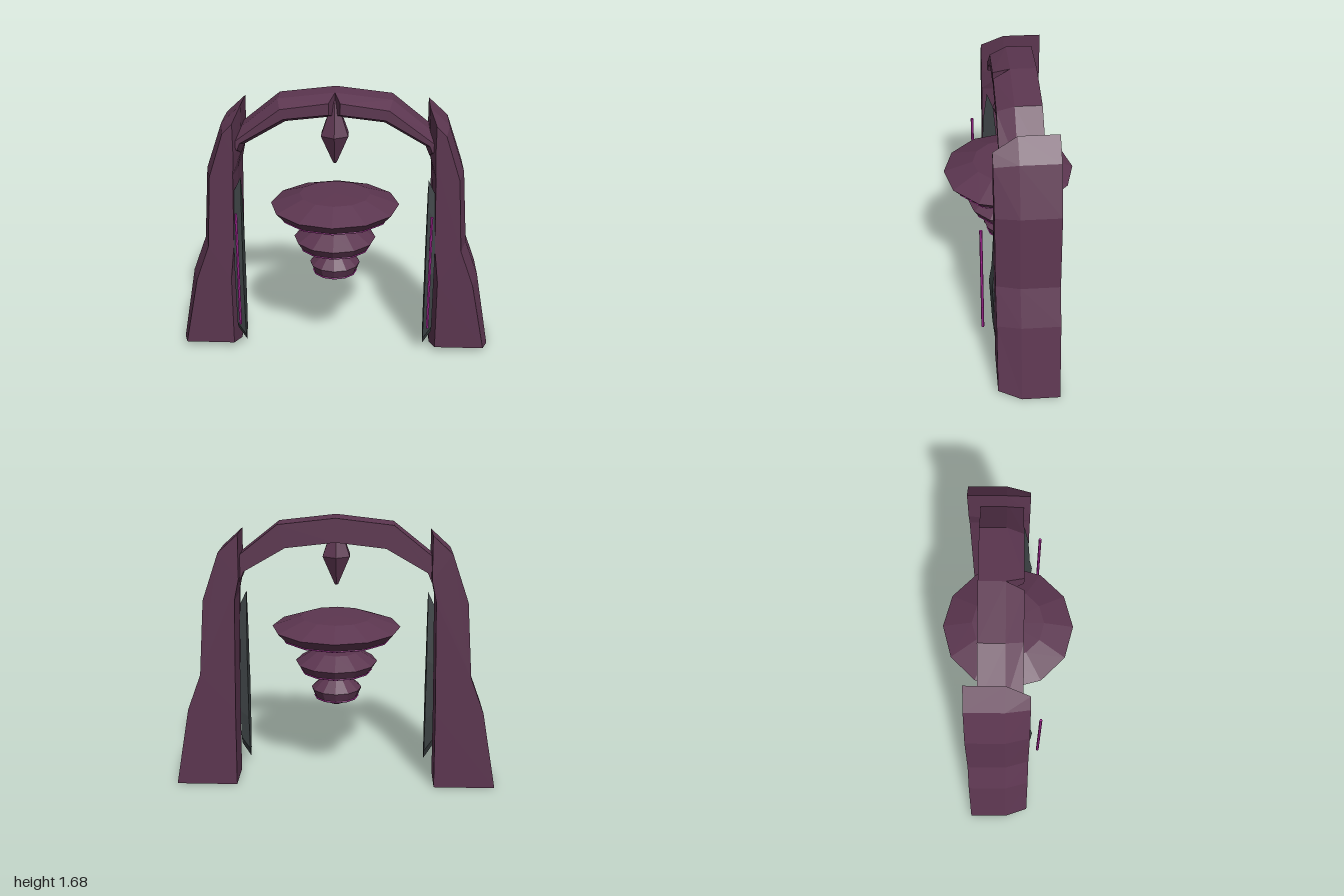
import * as THREE from 'three';

const mat = (name, color) => {
  const m = new THREE.MeshStandardMaterial({ color, flatShading: true });
  m.name = name;
  return m;
};

// Solid lofted through matching outlines: layers are [z, points], points run counter-clockwise.
function loft(layers) {
  const pos = [];
  const tri = (a, b, c) => pos.push(...a, ...b, ...c);
  const rings = layers.map(([z, pts]) => pts.map(([x, y]) => [x, y, z]));
  const n = rings[0].length;
  for (let k = 0; k < rings.length - 1; k++) {
    for (let i = 0; i < n; i++) {
      const j = (i + 1) % n;
      const a = rings[k][i], b = rings[k][j], c = rings[k + 1][j], d = rings[k + 1][i];
      tri(a, b, c);
      tri(a, c, d);
    }
  }
  const cap = (ring, front) => {
    const flat = ring.map(([x, y]) => new THREE.Vector2(x, y));
    for (const [a, b, c] of THREE.ShapeUtils.triangulateShape(flat, [])) {
      if (front) tri(ring[a], ring[b], ring[c]);
      else tri(ring[a], ring[c], ring[b]);
    }
  };
  cap(rings[0], false);
  cap(rings[rings.length - 1], true);
  const g = new THREE.BufferGeometry();
  g.setAttribute('position', new THREE.Float32BufferAttribute(pos, 3));
  g.computeVertexNormals();
  return g;
}

// Mirrored copy across x, keeping faces outward.
function mirrorX(geo) {
  const src = geo.getAttribute('position');
  const pos = [];
  for (let i = 0; i < src.count; i += 3) {
    for (const k of [i, i + 2, i + 1]) pos.push(-src.getX(k), src.getY(k), src.getZ(k));
  }
  const g = new THREE.BufferGeometry();
  g.setAttribute('position', new THREE.Float32BufferAttribute(pos, 3));
  g.computeVertexNormals();
  return g;
}

export function createModel() {
  const group = new THREE.Group();
  group.name = 'hangingArch';
  const stone = mat('plumStone', 0x5c3650);
  const dark = mat('darkMetal', 0x3c4244);
  const glow = mat('magentaGlow', 0xb42ca2);

  const add = (name, geo, material) => {
    const m = new THREE.Mesh(geo, material);
    m.name = name;
    group.add(m);
    return m;
  };
  const addPair = (name, geo, material) => {
    add(name + 'Left', geo, material);
    add(name + 'Right', mirrorX(geo), material);
  };

  // Pillars: full outline at the back, bevelled inwards at the front
  const pillar = [[0.62, 0], [1, 0], [0.91, 0.5], [0.825, 0.73], [0.79, 1.2], [0.69, 1.49],
    [0.57, 1.6], [0.572, 1.33], [0.6, 1.2], [0.61, 0.73], [0.615, 0.5]];
  const pillarFace = [[0.65, 0.04], [0.96, 0.04], [0.87, 0.49], [0.785, 0.725], [0.755, 1.19], [0.665, 1.465],
    [0.605, 1.525], [0.605, 1.33], [0.612, 1.2], [0.625, 0.73], [0.65, 0.5]];
  addPair('pillar', loft([[-0.24, pillar], [-0.01, pillar], [0.13, pillarFace]]), stone);

  // Arch halves, bevelled the same way so a groove forms where they meet
  const arch = [[0, 1.54], [0.3, 1.505], [0.55, 1.36], [0.575, 1.3], [0.62, 1.3],
    [0.62, 1.425], [0.345, 1.645], [0, 1.685]];
  const archFace = [[0.035, 1.575], [0.305, 1.545], [0.57, 1.39], [0.585, 1.35], [0.61, 1.35],
    [0.61, 1.395], [0.325, 1.605], [0.035, 1.645]];
  addPair('archHalf', loft([[-0.165, arch], [-0.01, arch], [0.09, archFace]]), stone);

  // Dark blades on the inner sides of the pillars, swelling forwards
  const blade = [[-0.095, 0.05], [-0.05, 0.12], [-0.03, 0.35], [-0.03, 0.75], [-0.06, 1.08],
    [-0.1, 1.18], [-0.125, 1], [-0.14, 0.7], [-0.157, 0.58], [-0.14, 0.25], [-0.125, 0.1]];
  const bladeBack = blade.map(([u, y]) => [-0.09 + (u + 0.09) * 0.75, 0.55 + (y - 0.55) * 0.82]);
  // local -x becomes world +z
  addPair('blade', loft([[0.57, blade], [0.625, bladeBack]]).rotateY(Math.PI / 2), dark);

  // Glowing rods in front of the blades
  for (const s of [1, -1]) {
    const rod = add(s > 0 ? 'rodLeft' : 'rodRight', new THREE.CylinderGeometry(0.009, 0.009, 0.76, 6), glow);
    rod.position.set(s * 0.593, 0.6, 0.2);
  }

  // Pendant under the keystone and the three floating tiers
  const lathe = (name, profile, sides) => add(name,
    new THREE.LatheGeometry(profile.map(([r, y]) => new THREE.Vector2(r, y)), sides), stone);
  lathe('pendant', [[0, 1.245], [0.012, 1.25], [0.095, 1.43], [0.055, 1.535], [0.018, 1.63], [0, 1.64]], 6);

  const tiers = [
    { name: 'upperTier', sides: 12, ring: [0.345, 0.92],
      profile: [[0, 0.865], [0.05, 0.865], [0.345, 0.92], [0.4, 0.98], [0.22, 1.045], [0, 1.05]] },
    { name: 'middleTier', sides: 12, ring: [0.22, 0.7],
      profile: [[0, 0.645], [0.05, 0.645], [0.22, 0.7], [0.256, 0.755], [0.14, 0.825], [0, 0.828]] },
    { name: 'lowerTier', sides: 12, ring: [0.135, 0.522],
      profile: [[0, 0.468], [0.025, 0.468], [0.135, 0.522], [0.158, 0.58], [0.08, 0.648], [0, 0.65]] },
  ];
  for (const { name, sides, ring, profile } of tiers) {
    lathe(name, profile, sides);
    const hoop = new THREE.TorusGeometry(ring[0], 0.006, 4, sides);
    hoop.rotateX(Math.PI / 2);
    add(name + 'GlowRing', hoop, glow).position.y = ring[1];
  }
  return group;
}
